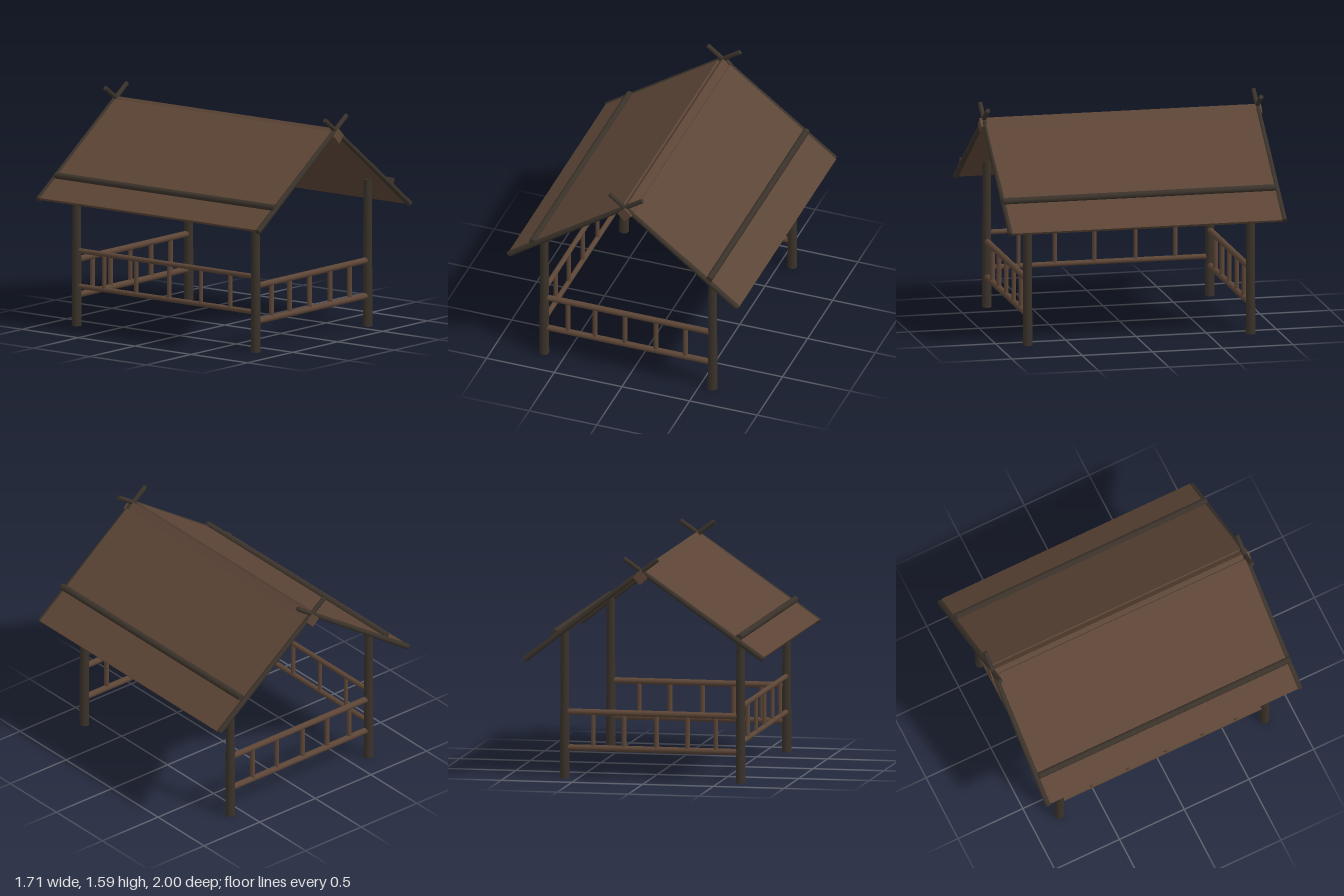
import * as THREE from 'three';

export function createModel() {
  const model = new THREE.Group();
  const dark = new THREE.MeshStandardMaterial({ color: 0x3a322a });
  const brown = new THREE.MeshStandardMaterial({ color: 0x5c4536 });
  const V = (x, y, z) => new THREE.Vector3(x, y, z);
  const UP = V(0, 1, 0);

  // Round pole from a to b, radius ra at a and rb at b
  function pole(name, a, b, ra, rb, material, parent = model) {
    const dir = b.clone().sub(a);
    const mesh = new THREE.Mesh(new THREE.CylinderGeometry(rb, ra, dir.length(), 16), material);
    mesh.name = name;
    mesh.position.copy(a).add(b).multiplyScalar(0.5);
    mesh.quaternion.setFromUnitVectors(UP, dir.normalize());
    parent.add(mesh);
  }

  // Sloping roof board between two points of the gable profile
  function panel(name, x0, y0, x1, y1, lift) {
    const length = Math.hypot(x1 - x0, y1 - y0);
    const angle = Math.atan2(y1 - y0, x1 - x0);
    const mesh = new THREE.Mesh(new THREE.BoxGeometry(length, 0.02, 1.925), brown);
    mesh.name = name;
    mesh.rotation.z = angle;
    mesh.position.set((x0 + x1) / 2 - Math.sin(angle) * lift, (y0 + y1) / 2 + Math.cos(angle) * lift, 0.003);
    model.add(mesh);
  }

  const leftX = 0.593, rightX = -0.65, postZ = 0.793;

  // Corner posts
  for (const x of [leftX, rightX])
    for (const z of [postZ, -postZ])
      pole('cornerPost', V(x, 0, z), V(x, 1.035, z), 0.034, 0.029, dark);

  // Front and back railings
  for (const z of [postZ, -postZ]) {
    const railing = new THREE.Group();
    railing.name = z > 0 ? 'frontRailing' : 'backRailing';
    for (const y of [0.215, 0.465])
      pole('rail', V(-0.63, y, z), V(0.575, y, z), 0.022, 0.022, brown, railing);
    for (const x of [-0.475, -0.275, -0.055, 0.175, 0.392])
      pole('baluster', V(x, 0.215, z), V(x, 0.465, z), 0.017, 0.017, brown, railing);
    model.add(railing);
  }

  // Railing on one side only; the opposite side is the entrance
  const sideRailing = new THREE.Group();
  sideRailing.name = 'sideRailing';
  for (const y of [0.28, 0.53])
    pole('rail', V(rightX, y, -0.78), V(rightX, y, 0.78), 0.018, 0.018, brown, sideRailing);
  for (const z of [0.567, 0.308, 0.027, -0.265, -0.548])
    pole('baluster', V(rightX, 0.28, z), V(rightX, 0.53, z), 0.015, 0.015, brown, sideRailing);
  model.add(sideRailing);

  // Roof panels
  panel('rightRoofPanel', -0.842, 0.897, -0.01, 1.47, 0.003);
  panel('leftRoofPanel', 0.06, 1.446, 0.845, 0.841, 0.008);

  // Square ridge beam turned on its edge
  const ridge = new THREE.Mesh(new THREE.BoxGeometry(0.073, 0.073, 2), brown);
  ridge.name = 'ridgeBeam';
  ridge.rotation.z = Math.PI / 4;
  ridge.position.set(0.019, 1.445, 0);
  model.add(ridge);

  // Crossed gable rafters
  for (const z of [0.968, -0.976]) {
    pole('rightRafter', V(-0.847, 0.893, z), V(0.138, 1.572, z), 0.02, 0.016, dark);
    pole('leftRafter', V(0.84, 0.846, z), V(-0.102, 1.572, z), 0.02, 0.016, dark);
  }

  // Poles lying on the roof above the posts
  for (const [x, y] of [[-0.672, 1.04], [0.635, 1.038]])
    pole('roofPole', V(x, y, -0.96), V(x, y, 0.98), 0.023, 0.023, dark);

  return model;
}
